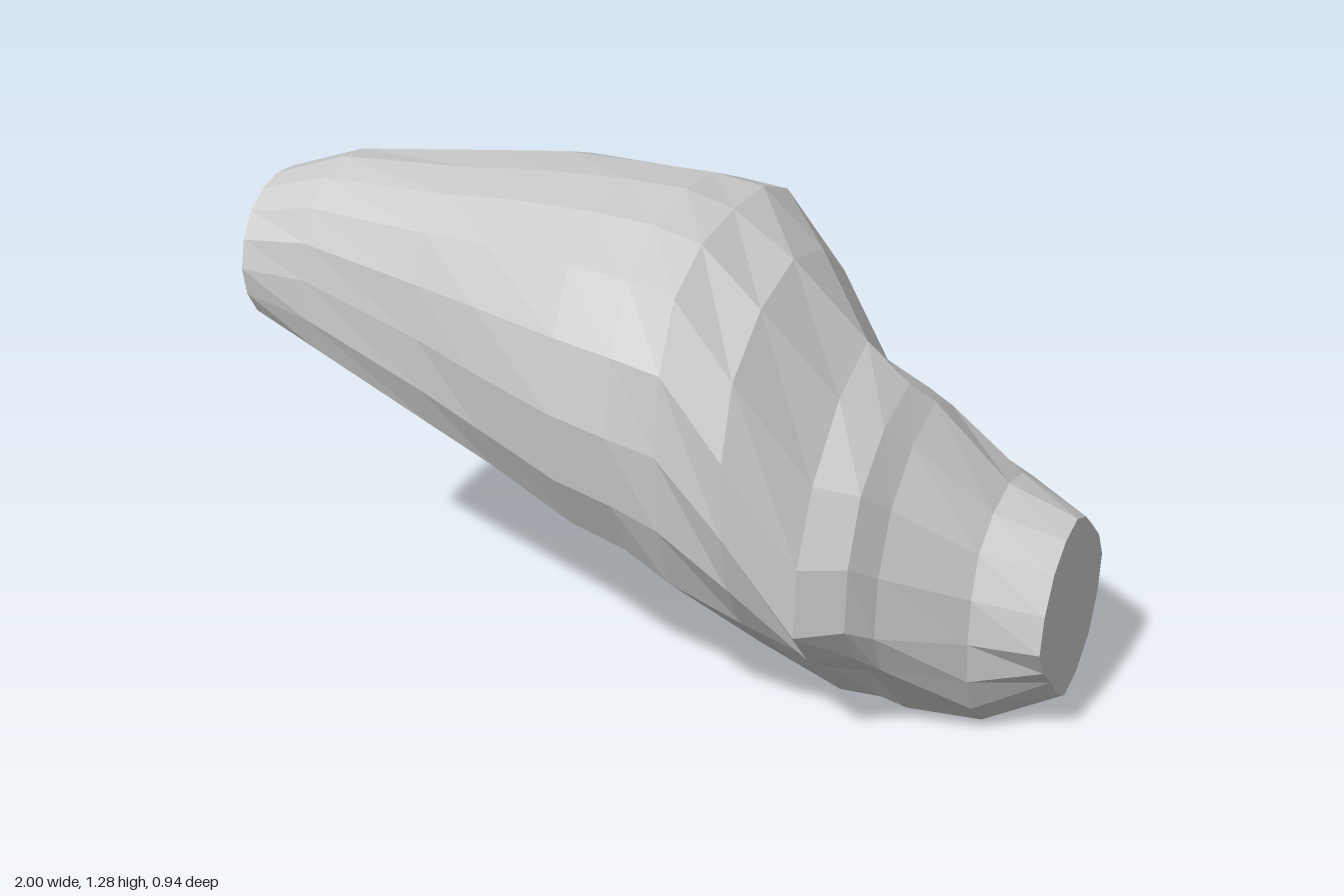
import * as THREE from 'three';

const SIDES = 16;
const BACK = -0.475; // flat cut at the rear
const FLOOR = 0; // flat cut underneath

// Each section: x, centre z, centre y, then eight radii turning
// front, front-top, top, back-top, back, back-bottom, bottom, front-bottom.
const SECTIONS = [
  [-1, 0.09, 1.0, 0.19, 0.185, 0.18, 0.195, 0.19, 0.185, 0.18, 0.19],
  [-0.83, 0.06, 1.0, 0.22, 0.24, 0.24, 0.25, 0.23, 0.25, 0.25, 0.27],
  [-0.5, 0.02, 0.93, 0.31, 0.35, 0.32, 0.37, 0.34, 0.36, 0.33, 0.36],
  [-0.33, 0, 0.9, 0.38, 0.41, 0.365, 0.42, 0.475, 0.4, 0.36, 0.41],
  [-0.1, 0, 0.87, 0.45, 0.46, 0.41, 0.45, 0.65, 0.44, 0.43, 0.48],
  [0.05, 0, 0.85, 0.47, 0.475, 0.43, 0.47, 0.65, 0.45, 0.49, 0.5],
  [0.17, 0, 0.82, 0.46, 0.49, 0.43, 0.49, 0.48, 0.42, 0.57, 0.53],
  [0.33, 0.02, 0.64, 0.43, 0.52, 0.52, 0.49, 0.37, 0.42, 0.5, 0.42],
  [0.5, -0.03, 0.4, 0.45, 0.49, 0.56, 0.38, 0.38, 0.47, 0.42, 0.3],
  [0.6, -0.05, 0.4, 0.4, 0.45, 0.46, 0.37, 0.4, 0.45, 0.43, 0.3],
  [0.65, -0.1, 0.36, 0.385, 0.42, 0.44, 0.35, 0.4, 0.4, 0.42, 0.32],
  [0.83, -0.14, 0.3, 0.27, 0.31, 0.3, 0.3, 0.37, 0.33, 0.36, 0.3],
  [1, -0.15, 0.3, 0.26, 0.25, 0.235, 0.205, 0.265, 0.27, 0.26, 0.2],
];

// Rounded ring through the eight radii, trimmed by the two cutting planes
function ring([x, cz, cy, ...radii]) {
  const corners = radii.map((r, k) => {
    const a = (k * Math.PI) / 4;
    return new THREE.Vector3(x, cy + r * Math.sin(a), cz + r * Math.cos(a));
  });
  const curve = new THREE.CatmullRomCurve3(corners, true, 'catmullrom', 0.5);
  return Array.from({ length: SIDES }, (_, j) => {
    const p = curve.getPoint(j / SIDES);
    return [x, Math.max(p.y, FLOOR), Math.max(p.z, BACK)];
  });
}

function loftGeometry(sections) {
  const positions = sections.flatMap((s) => ring(s).flat());
  const index = [];
  const last = sections.length - 1;
  const id = (i, j) => i * SIDES + (j % SIDES);

  // Skin between neighbouring rings
  for (let i = 0; i < last; i++) {
    for (let j = 0; j < SIDES; j++) {
      const a = id(i, j), b = id(i, j + 1), c = id(i + 1, j), d = id(i + 1, j + 1);
      index.push(a, c, b, b, c, d);
    }
  }

  // Flat end caps
  const startCentre = positions.length / 3;
  for (const [x, z, y] of [sections[0], sections[last]]) positions.push(x, y, z);
  for (let j = 0; j < SIDES; j++) {
    index.push(startCentre, id(0, j), id(0, j + 1));
    index.push(startCentre + 1, id(last, j + 1), id(last, j));
  }

  const geometry = new THREE.BufferGeometry();
  geometry.setAttribute('position', new THREE.Float32BufferAttribute(positions, 3));
  geometry.setIndex(index);
  geometry.computeVertexNormals();
  return geometry;
}

export function createModel() {
  const group = new THREE.Group();
  group.name = 'bentBody';
  const material = new THREE.MeshStandardMaterial({ color: 0xcccccc, flatShading: true });
  const body = new THREE.Mesh(loftGeometry(SECTIONS), material);
  body.name = 'body';
  group.add(body);
  return group;
}
